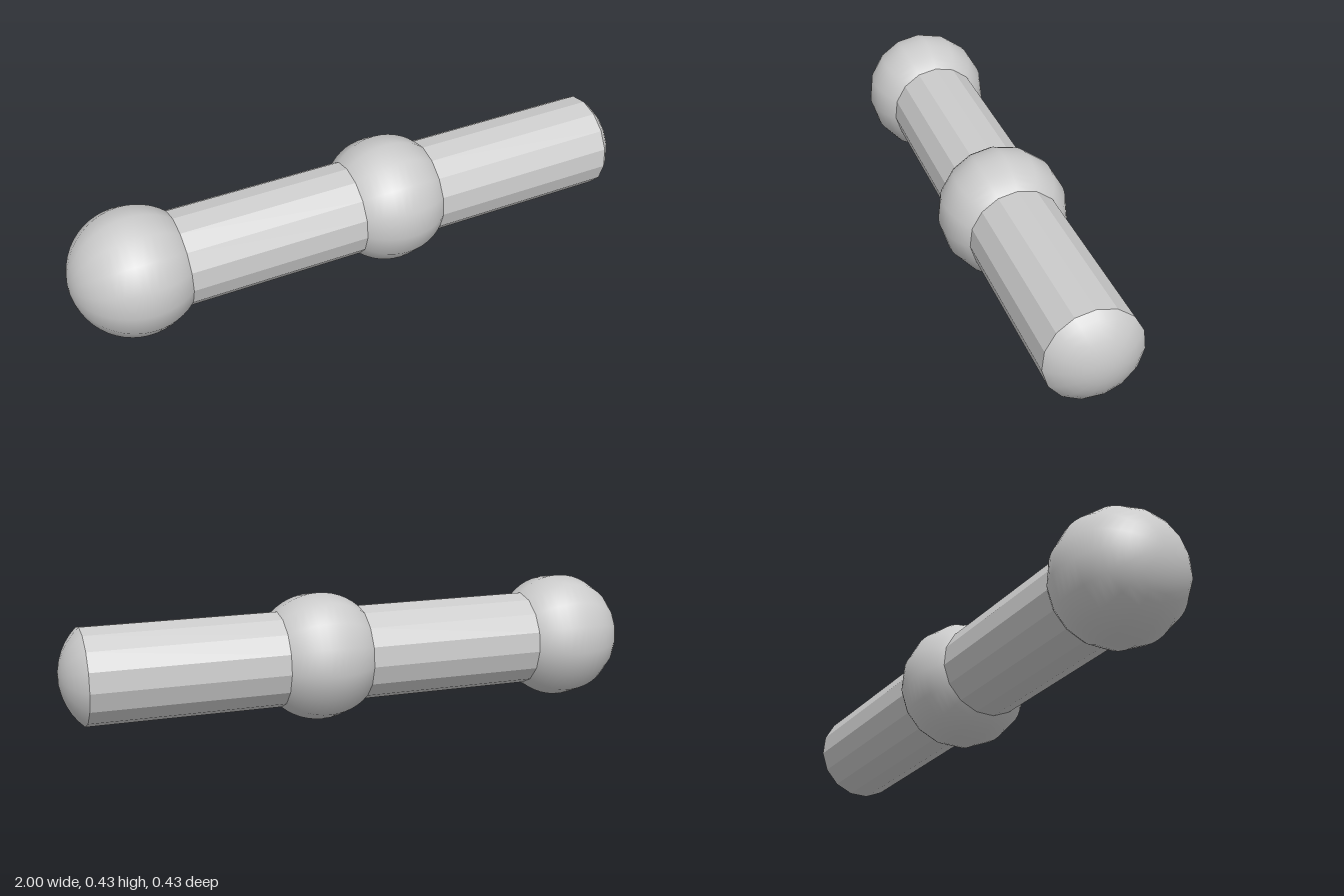
import * as THREE from 'three';

const SIDES = 15;
const BALL_R = 0.2174;
const SHAFT_R = 0.1625;
const AXIS_Y = 0.2126;
// Polar angle at which the ball surface meets the shaft
const MEET = Math.asin(SHAFT_R / BALL_R);
const REACH = BALL_R * Math.cos(MEET);

export function createModel() {
  const group = new THREE.Group();
  const smooth = new THREE.MeshStandardMaterial({ color: 0xcccccc });
  const faceted = new THREE.MeshStandardMaterial({ color: 0xcccccc, flatShading: true });

  // Lays a y-axis geometry along +x, with a corner of its ring at the top
  const add = (name, geometry, material, x) => {
    const mesh = new THREE.Mesh(geometry.rotateZ(-Math.PI / 2), material);
    mesh.name = name;
    mesh.position.set(x, AXIS_Y, 0);
    group.add(mesh);
  };

  // Part of a ball between two polar angles measured from +x
  const ball = (name, x, from, to, rings) => add(name,
    new THREE.SphereGeometry(BALL_R, SIDES, rings, 0, Math.PI * 2, from, to - from), smooth, x);

  // Flat-sided shaft between two ends on the x axis
  const shaft = (name, x0, x1) => add(name,
    new THREE.CylinderGeometry(SHAFT_R, SHAFT_R, x1 - x0, SIDES, 1, true, -Math.PI / 2),
    faceted, (x0 + x1) / 2);

  const endX = 1 - BALL_R;
  const midX = 0.125;

  ball('endBall', -endX, MEET, Math.PI, 18);
  ball('middleBall', midX, MEET, Math.PI - MEET, 12);
  ball('domedTip', endX, 0, MEET, 6);

  shaft('rightShaft', -endX + REACH, midX - REACH);
  shaft('leftShaft', midX + REACH, endX + REACH);

  return group;
}
